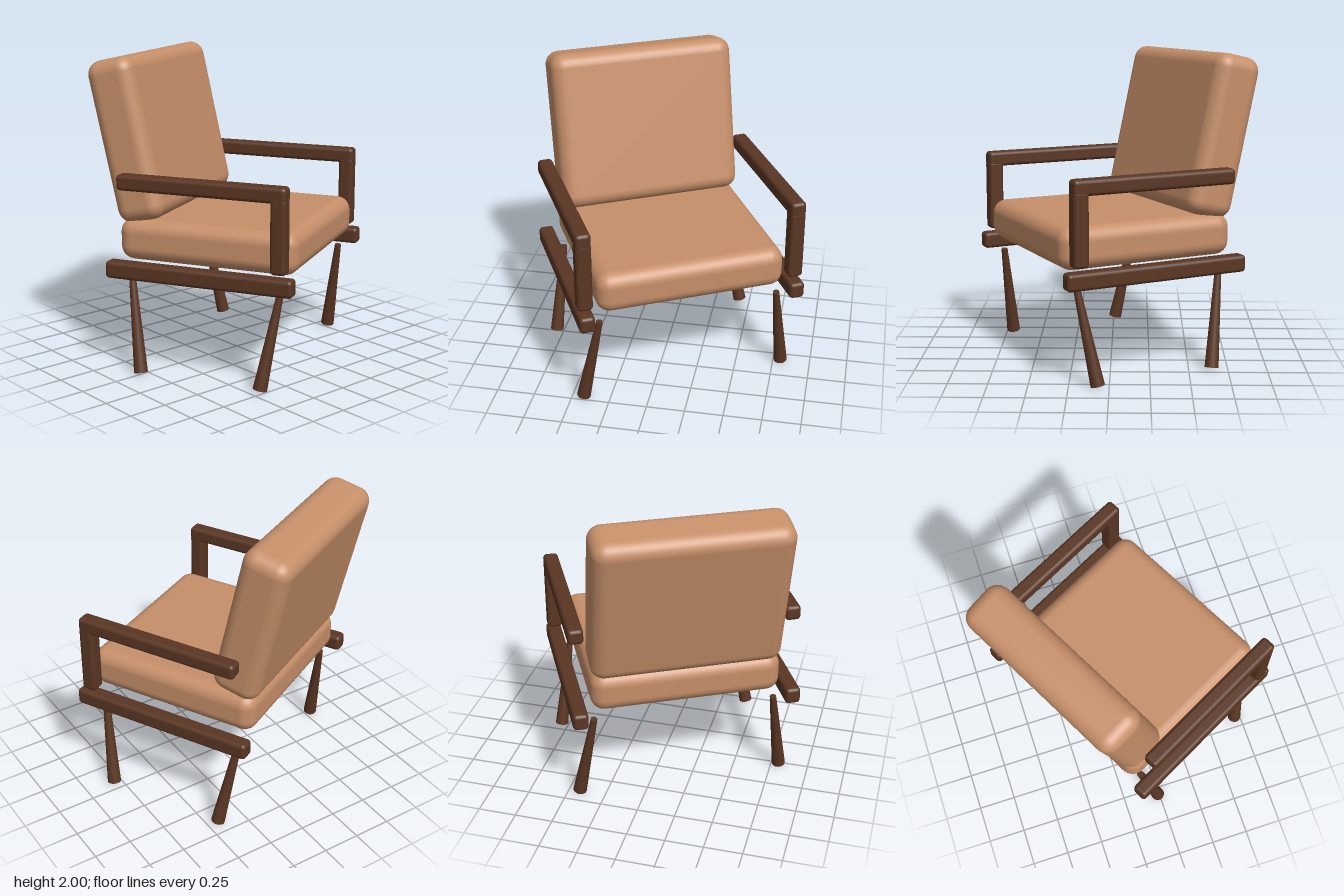
import * as THREE from 'three';
import { RoundedBoxGeometry } from 'three/addons/geometries/RoundedBoxGeometry.js';

const fabric = new THREE.MeshStandardMaterial({ color: 0xc68f69 });
fabric.name = 'tan upholstery';
const wood = new THREE.MeshStandardMaterial({ color: 0x5a3623 });
wood.name = 'dark wood';

// Rounded block with its centre at (x, y, z)
function block(name, material, [w, h, d], radius, [x, y, z]) {
  const mesh = new THREE.Mesh(new RoundedBoxGeometry(w, h, d, 4, radius), material);
  mesh.name = name;
  mesh.position.set(x, y, z);
  return mesh;
}

// Tapered leg between two points, thicker at the foot
function leg(name, top, foot) {
  const axis = new THREE.Vector3().subVectors(top, foot);
  const mesh = new THREE.Mesh(new THREE.CylinderGeometry(0.021, 0.045, axis.length(), 20), wood);
  mesh.name = name;
  mesh.position.addVectors(top, foot).multiplyScalar(0.5);
  mesh.quaternion.setFromUnitVectors(new THREE.Vector3(0, 1, 0), axis.normalize());
  return mesh;
}

export function createModel() {
  const root = new THREE.Group();
  root.name = 'armchair';

  // The whole chair stands turned on the floor
  const chair = new THREE.Group();
  chair.name = 'turnedChair';
  chair.rotation.y = THREE.MathUtils.degToRad(27.5);
  chair.position.z = 0.03;
  root.add(chair);

  // Cushions
  chair.add(block('seatCushion', fabric, [1.23, 0.27, 1.19], 0.09, [0, 0.847, 0]));
  const back = block('backCushion', fabric, [1.23, 1.04, 0.32], 0.09, [0, 1.475, -0.552]);
  back.rotation.x = -0.22;
  chair.add(back);

  for (const s of [-1, 1]) {
    const side = s > 0 ? 'left' : 'right';
    const x = s * 0.693;

    // Side frame: base rail, front post, armrest
    chair.add(block(side + 'Rail', wood, [0.1, 0.11, 1.24], 0.025, [x, 0.68, 0]));
    chair.add(block(side + 'Post', wood, [0.1, 0.47, 0.1], 0.025, [x, 0.995, 0.527]));
    chair.add(block(side + 'Armrest', wood, [0.1, 0.1, 1.11], 0.025, [x, 1.245, 0.022]));

    // Splayed legs
    for (const f of [-1, 1]) {
      chair.add(leg(
        side + (f > 0 ? 'FrontLeg' : 'BackLeg'),
        new THREE.Vector3(s * 0.593, 0.625, f * 0.502),
        new THREE.Vector3(s * 0.69, 0.01, f * 0.405)
      ));
    }
  }
  return root;
}
